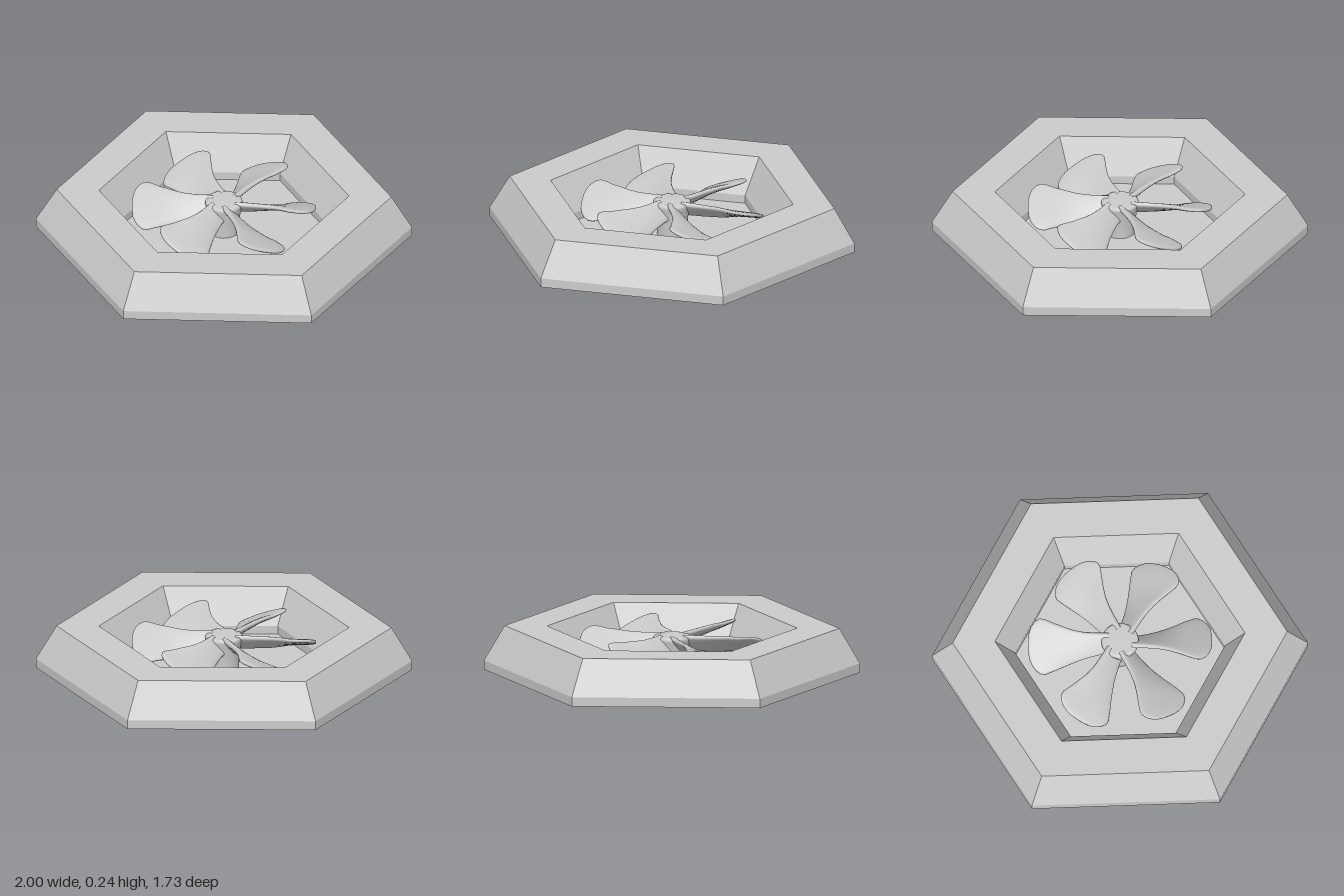
import * as THREE from 'three';

const v2 = (points) => points.map(([x, y]) => new THREE.Vector2(x, y));

// One propeller blade pointing along +x, lofted from twisted oval sections
function bladeGeometry() {
  // radius, far edge z, near edge z, half thickness
  const rows = [
    [0.06, -0.04, 0.04, 0.018], [0.10, -0.045, 0.042, 0.018], [0.15, -0.055, 0.046, 0.017],
    [0.20, -0.068, 0.053, 0.016], [0.25, -0.085, 0.065, 0.016], [0.30, -0.105, 0.084, 0.015],
    [0.35, -0.126, 0.106, 0.015], [0.40, -0.144, 0.128, 0.014], [0.425, -0.142, 0.13, 0.014],
    [0.45, -0.125, 0.117, 0.013], [0.47, -0.1, 0.093, 0.012], [0.483, -0.07, 0.062, 0.01],
    [0.489, -0.035, 0.03, 0.006], [0.49, 0, 0, 0],
  ];
  const sides = 24, pos = [], index = [];
  rows.forEach(([r, z0, z1, t], i) => {
    const k = Math.min(1, (r - 0.06) / 0.3);
    const slope = THREE.MathUtils.lerp(1.15, 0.45, k); // pitch eases off toward the tip
    const len = Math.hypot(1, slope);
    for (let j = 0; j < sides; j++) {
      const a = (j / sides) * Math.PI * 2;
      const z = (z0 + z1) / 2 + ((z1 - z0) / 2) * Math.cos(a);
      const s = Math.sin(a);
      const h = t * Math.sign(s) * Math.sqrt(Math.abs(s));
      pos.push(r, 0.155 + z * slope + h / len, z - (h * slope) / len);
      if (i < rows.length - 1) {
        const p = i * sides + j, q = i * sides + ((j + 1) % sides);
        index.push(p, p + sides, q, q, p + sides, q + sides);
      }
    }
  });
  const g = new THREE.BufferGeometry();
  g.setAttribute('position', new THREE.Float32BufferAttribute(pos, 3));
  g.setIndex(index);
  g.computeVertexNormals();
  return g;
}

export function createModel() {
  const model = new THREE.Group();
  const smooth = new THREE.MeshStandardMaterial({ color: 0xcccccc });
  const flat = new THREE.MeshStandardMaterial({ color: 0xcccccc, flatShading: true });

  // Hexagonal housing with bevelled rim, recessed well and closed bottom
  const housing = new THREE.Mesh(
    new THREE.LatheGeometry(v2([
      [0, 0], [1, 0], [1, 0.05], [0.89, 0.24], [0.665, 0.24], [0.557, 0.05], [0.557, 0.005], [0, 0.005],
    ]), 6, Math.PI / 2),
    flat,
  );
  housing.name = 'housing';
  model.add(housing);

  // Fan: hub with softened top edge and six blades
  const fan = new THREE.Group();
  fan.name = 'fan';
  const hub = new THREE.Mesh(
    new THREE.LatheGeometry(v2([
      [0.08, 0.005], [0.082, 0.06], [0.088, 0.12], [0.096, 0.165], [0.1, 0.18],
      [0.098, 0.189], [0.091, 0.195], [0.08, 0.197], [0, 0.198],
    ]), 48),
    smooth,
  );
  hub.name = 'hub';
  fan.add(hub);

  const blade = bladeGeometry();
  for (let k = 0; k < 6; k++) {
    const mesh = new THREE.Mesh(blade, smooth);
    mesh.name = 'blade';
    mesh.rotation.y = (k * Math.PI) / 3;
    fan.add(mesh);
  }
  model.add(fan);
  return model;
}
